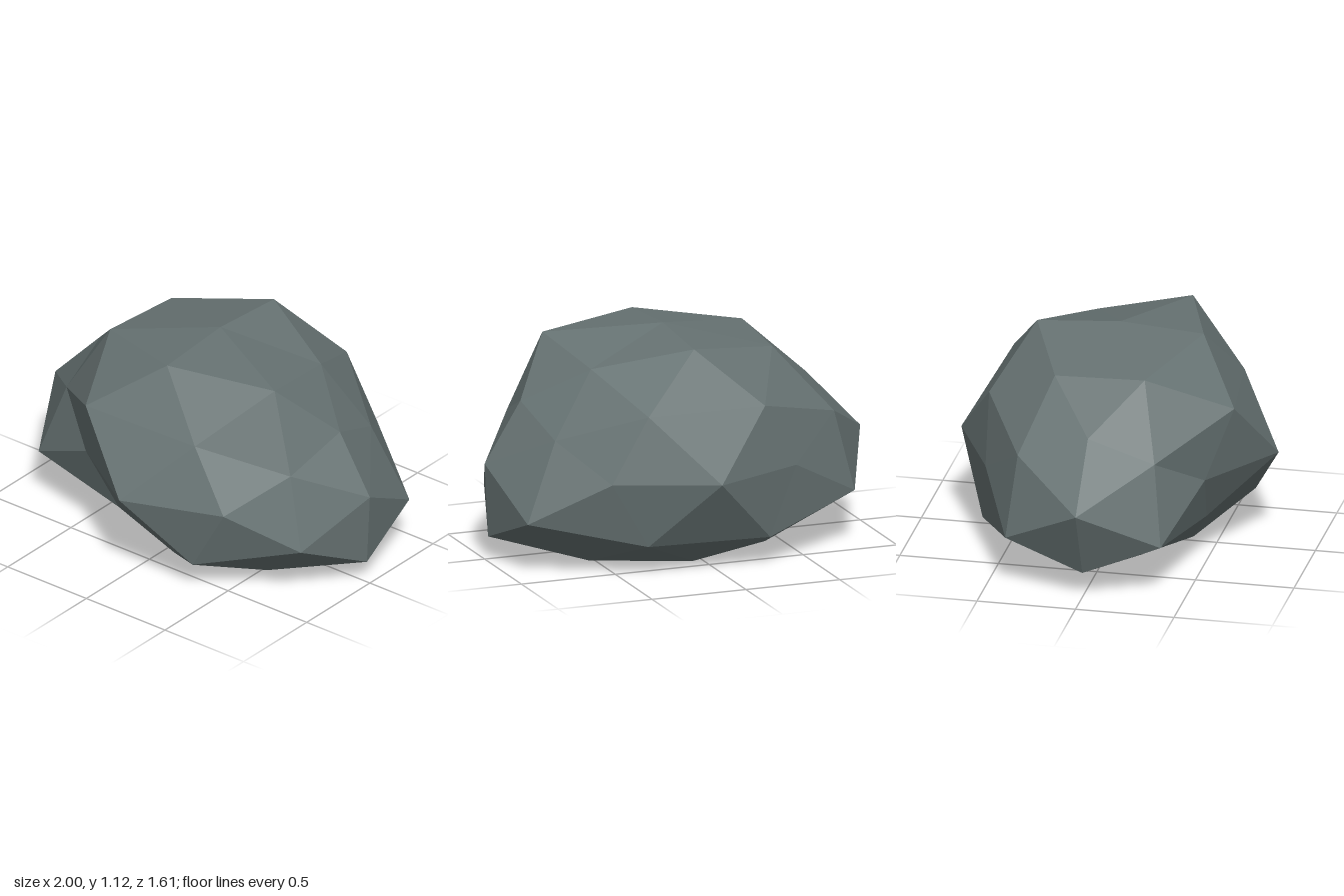
import * as THREE from 'three';

// Stone radii per direction family; signs run + then -, x slowest, z fastest,
// and zero components have no sign.
const FAMILIES = [
  { dir: [1, 0, 0], radii: [0.95, 1.05] },
  { dir: [0, 1, 0], radii: [0.97, 1.0] },
  { dir: [0, 0, 1], radii: [1.083, 1.09] },
  { dir: [0.851, 0.526, 0], radii: [0.893, 1.095, 0.893, 1.048] },
  { dir: [0, 0.851, 0.526], radii: [1.085, 1.085, 0.95, 1.05] },
  { dir: [0.526, 0, 0.851], radii: [0.96, 0.967, 0.83, 0.92] },
  { dir: [0.809, 0.309, 0.5], radii: [0.87, 0.865, 1.0, 1.085, 0.885, 0.955, 1.045, 1.07] },
  { dir: [0.5, 0.809, 0.309], radii: [1.09, 0.935, 0.95, 0.95, 1.025, 0.985, 0.83, 0.92] },
  { dir: [0.309, 0.5, 0.809], radii: [0.945, 1.015, 1.03, 1.025, 1.085, 1.0, 0.82, 1.05] },
];

const signs = (v) => (v === 0 ? [0] : [1, -1]);

// Expand the families into one direction and radius per corner
function makeCorners() {
  const corners = [];
  for (const { dir: [a, b, c], radii } of FAMILIES) {
    let i = 0;
    for (const sx of signs(a)) for (const sy of signs(b)) for (const sz of signs(c)) {
      corners.push({ dir: new THREE.Vector3(a * sx, b * sy, c * sz), radius: radii[i++] });
    }
  }
  return corners;
}

export function createModel() {
  const stone = new THREE.MeshStandardMaterial({ color: 0x667272 });
  stone.name = 'stone grey';
  stone.flatShading = true;

  const corners = makeCorners();
  const centre = new THREE.Vector3(0.05, 0.49, 0);
  const stretch = new THREE.Vector3(1, 0.652, 0.741);

  // Subdivided icosahedron, pushed in and out, squashed, and flattened underneath
  const geometry = new THREE.IcosahedronGeometry(1, 1).rotateY(Math.PI / 2);
  const position = geometry.attributes.position;
  const p = new THREE.Vector3();
  for (let i = 0; i < position.count; i++) {
    p.fromBufferAttribute(position, i);
    const corner = corners.reduce((best, c) => (c.dir.dot(p) > best.dir.dot(p) ? c : best));
    p.multiplyScalar(corner.radius).multiply(stretch).add(centre);
    position.setXYZ(i, p.x, Math.max(p.y, 0), p.z);
  }
  geometry.computeVertexNormals();

  const rock = new THREE.Mesh(geometry, stone);
  rock.name = 'rock';
  const group = new THREE.Group();
  group.name = 'boulder';
  group.add(rock);
  return group;
}
